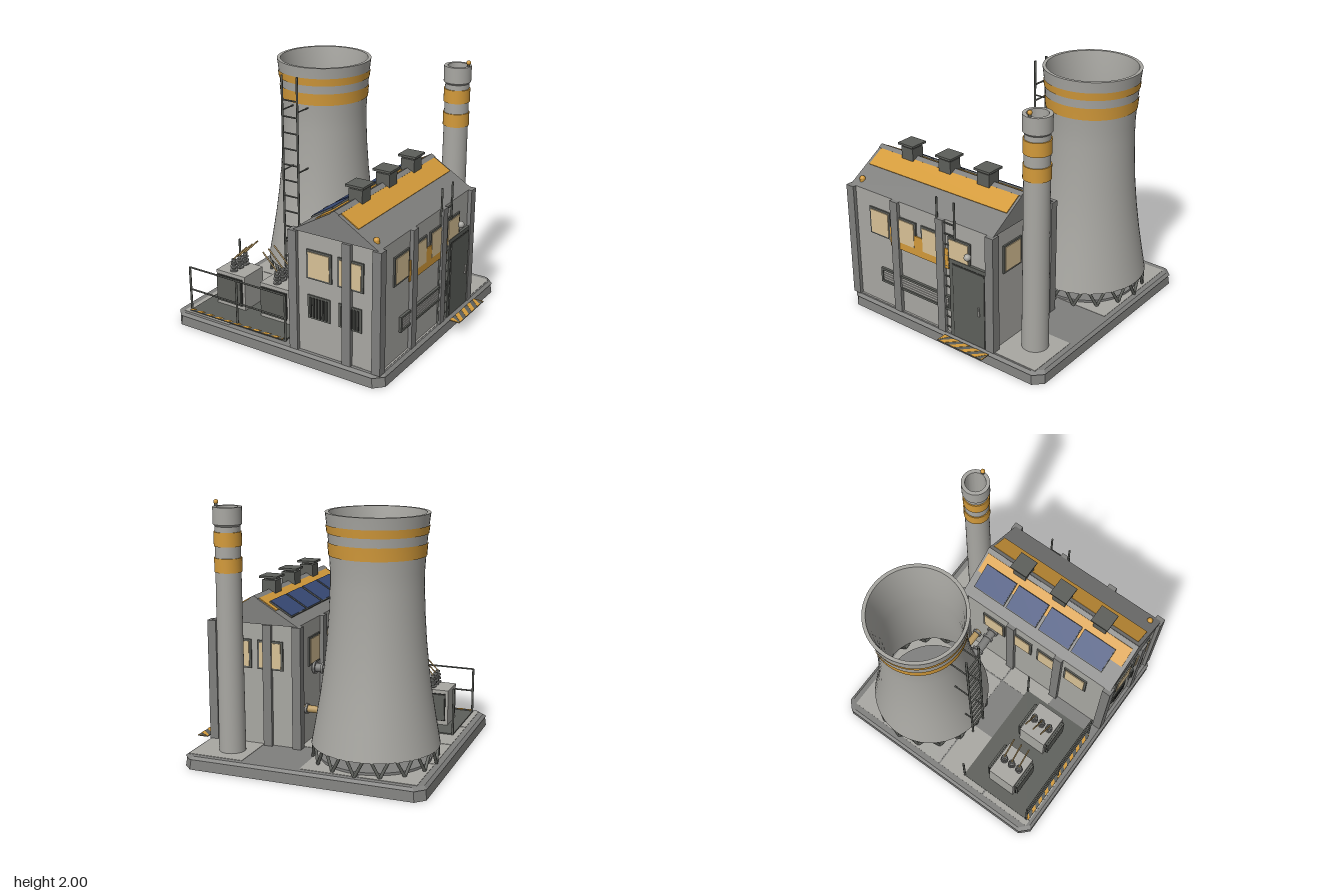
import * as THREE from 'three';
import { toCreasedNormals } from 'three/addons/utils/BufferGeometryUtils.js';

const mat = (name, color) => Object.assign(new THREE.MeshStandardMaterial({ color }), { name });

export function createModel() {
  const concrete = mat('light concrete', 0xa8a7a2);
  const grey = mat('mid grey', 0x7f7f7d);
  const dark = mat('dark grey', 0x5d5f5a);
  const black = mat('charcoal', 0x3d3e3b);
  const amber = mat('amber paint', 0xd39a3a);
  const blue = mat('solar blue', 0x384a76);
  const glass = mat('warm glass', 0xd8c196);
  const brass = mat('brass', 0xb99a62);
  const model = new THREE.Group();

  const group = (name, parent = model) => {
    const g = new THREE.Group();
    g.name = name;
    parent.add(g);
    return g;
  };
  const add = (parent, name, geo, material) => {
    const m = new THREE.Mesh(geo, material);
    m.name = name;
    parent.add(m);
    return m;
  };
  // Box given by its limits on each axis
  const box = (p, name, x0, x1, y0, y1, z0, z1, m) => {
    const b = add(p, name, new THREE.BoxGeometry(x1 - x0, y1 - y0, z1 - z0), m);
    b.position.set((x0 + x1) / 2, (y0 + y1) / 2, (z0 + z1) / 2);
    return b;
  };
  // Round bar between two points
  const rod = (p, name, a, b, r, m, sides = 8) => {
    const A = new THREE.Vector3(...a), B = new THREE.Vector3(...b);
    const d = B.clone().sub(A);
    const c = add(p, name, new THREE.CylinderGeometry(r, r, d.length(), sides), m);
    c.position.copy(A).add(B).multiplyScalar(0.5);
    c.quaternion.setFromUnitVectors(new THREE.Vector3(0, 1, 0), d.normalize());
    return c;
  };
  const lathe = (p, name, pts, m, x, z) => {
    const g = new THREE.LatheGeometry(pts.map(q => new THREE.Vector2(...q)), 56);
    const l = add(p, name, toCreasedNormals(g, 0.6), m);
    l.position.set(x, 0, z);
    return l;
  };
  const ball = (p, name, x, y, z, r, m) => add(p, name, new THREE.SphereGeometry(r, 16, 12), m).position.set(x, y, z);

  // Base slab with cut corners and a bevelled top edge
  const base = group('base');
  const X = 0.945, Z = 0.945, c = 0.07;
  const outline = new THREE.Shape([[-X + c, -Z], [X - c, -Z], [X, -Z + c], [X, Z - c], [X - c, Z], [-X + c, Z], [-X, Z - c], [-X, -Z + c]]
    .map(q => new THREE.Vector2(...q)));
  const slab = (y0, y1, topScale) => {
    const g = new THREE.ExtrudeGeometry(outline, { depth: y1 - y0, bevelEnabled: false }).rotateX(-Math.PI / 2);
    const pos = g.attributes.position;
    for (let i = 0; i < pos.count; i++) if (pos.getY(i) > 0.001) {
      pos.setX(i, pos.getX(i) * topScale);
      pos.setZ(i, pos.getZ(i) * topScale);
    }
    g.computeVertexNormals();
    add(base, 'slab', g, grey).position.set(-0.055, y0, -0.005);
  };
  slab(0, 0.08, 0.99);
  slab(0.08, 0.1, 0.975);
  const lightTiles = ['1101', '1111', '1011', '1001'];
  lightTiles.forEach((row, j) => [...row].forEach((t, i) => {
    const x = -0.93 + i * 0.449, z = -0.885 + j * 0.447;
    if (t === '1') box(base, 'pavingTile', x, x + 0.437, 0.097, 0.103, z, z + 0.435, concrete);
  }));

  // Cooling tower: hollow waisted shell, bands, leaning struts
  const tx = -0.467, tz = -0.42, tower = group('coolingTower');
  const prof = [[0.48, 0.215], [0.447, 0.4], [0.413, 0.6], [0.385, 0.8], [0.364, 1.0], [0.35, 1.2], [0.342, 1.4], [0.342, 1.52], [0.35, 1.65], [0.36, 1.78], [0.378, 1.93]];
  const radius = y => {
    const k = Math.max(1, prof.findIndex(q => q[1] >= y)), [a, b] = [prof[k - 1], prof[k]];
    return a[0] + (b[0] - a[0]) * (y - a[1]) / (b[1] - a[1]);
  };
  const inner = prof.slice(0, -1).reverse().map(([r, y]) => [r - 0.03, y]);
  lathe(tower, 'shell', [...prof, [0.352, 1.93], ...inner, prof[0]], concrete, tx, tz);
  for (const [a, b] of [[1.625, 1.72], [1.785, 1.845]])
    lathe(tower, 'band', [a, (a + b) / 2, b].map(y => [radius(y) + 0.006, y]), amber, tx, tz);
  const basin = add(tower, 'basin', new THREE.CylinderGeometry(0.42, 0.42, 0.02, 48), grey);
  basin.position.set(tx, 0.112, tz);
  for (let i = 0; i < 32; i++) {
    const a = (i >> 1) / 16 * Math.PI * 2, b = a + (i % 2 ? 0.14 : -0.14);
    rod(tower, 'strut', [tx + 0.47 * Math.cos(a), 0.1, tz + 0.47 * Math.sin(a)],
      [tx + 0.465 * Math.cos(b), 0.225, tz + 0.465 * Math.sin(b)], 0.012, dark);
  }
  for (const x of [-0.54, -0.398]) {
    rod(tower, 'ladderRail', [x, 0.1, 0.066], [x, 1.88, 0.066], 0.009, dark);
    for (const y of [0.5, 1.1, 1.6]) rod(tower, 'ladderBracket', [x, y, 0.066], [x, y, tz + radius(y) - 0.02], 0.006, dark);
  }
  for (let i = 0; i < 13; i++) rod(tower, 'ladderRung', [-0.54, 1.685 - i * 0.133 + 0.133 * (i === 12), 0.066], [-0.398, 1.685 - i * 0.133 + 0.133 * (i === 12), 0.066], 0.007, dark);

  // Chimney with collar, bands and warning light
  const chimney = group('chimney');
  lathe(chimney, 'stack', [[0.102, 0.1], [0.093, 1.81], [0.106, 1.825], [0.106, 1.95], [0.078, 1.95], [0.075, 1.5], [0, 1.5]], concrete, 0.59, -0.69);
  for (const [a, b] of [[1.475, 1.58], [1.665, 1.77]])
    lathe(chimney, 'band', [[0.092, a], [0.102, a], [0.102, b], [0.092, b]], amber, 0.59, -0.69);
  rod(chimney, 'lightStem', [0.68, 1.94, -0.69], [0.68, 1.97, -0.69], 0.012, dark);
  ball(chimney, 'warningLight', 0.68, 1.98, -0.69, 0.018, amber);

  // Hall: walls, gable roof and pilasters
  const hall = group('hall'), cx = 0.485, pitch = 0.59;
  box(hall, 'walls', 0.13, 0.84, 0.1, 1.05, -0.49, 0.89, concrete);
  const gable = new THREE.Shape([[0.13, 1.05], [0.84, 1.05], [cx, 1.26]].map(q => new THREE.Vector2(...q)));
  add(hall, 'roof', new THREE.ExtrudeGeometry(gable, { depth: 1.4, bevelEnabled: false }), grey).position.z = -0.5;
  for (const z of [-0.483, -0.02, 0.43, 0.883]) for (const x of [0.135, 0.835])
    box(hall, 'pilaster', x - 0.035, x + 0.035, 0.1, 1.05, z - 0.036, z + 0.036, grey);
  box(hall, 'frontPilaster', 0.555, 0.625, 0.1, 1.05, 0.87, 0.92, grey);
  box(hall, 'backPilaster', 0.34, 0.41, 0.1, 1.05, -0.52, -0.47, grey);

  // Plates lying on the roof slopes
  const slope = (name, side, d0, d1, z0, z1, lift, t, m) => {
    const d = (d0 + d1) / 2, g = add(hall, name, new THREE.BoxGeometry((d1 - d0) * 1.161, t, z1 - z0), m);
    g.position.set(cx + side * d, 1.26 - pitch * d + lift, (z0 + z1) / 2);
    g.rotation.z = -side * Math.atan(pitch);
  };
  for (const s of [-1, 1]) {
    slope('roofStripe', s, 0.035, 0.175, -0.48, 0.87, 0.003, 0.009, amber);
    slope('ridgeCap', s, 0, 0.033, -0.5, 0.9, 0.001, 0.008, grey);
  }
  for (const z of [-0.44, -0.135, 0.175, 0.48]) {
    slope('solarFrame', -1, 0.105, 0.285, z, z + 0.285, 0.017, 0.012, dark);
    slope('solarPanel', -1, 0.109, 0.281, z + 0.005, z + 0.28, 0.024, 0.006, blue);
  }
  for (const z of [-0.17, 0.2, 0.575]) {
    box(hall, 'ventBox', cx - 0.057, cx + 0.057, 1.22, 1.335, z - 0.057, z + 0.057, dark);
    box(hall, 'ventNeck', cx - 0.03, cx + 0.03, 1.33, 1.355, z - 0.03, z + 0.03, black);
    box(hall, 'ventCap', cx - 0.075, cx + 0.075, 1.35, 1.367, z - 0.075, z + 0.075, dark);
  }
  rod(hall, 'beaconBase', [0.78, 1.06, 0.83], [0.78, 1.09, 0.83], 0.023, amber, 16);
  ball(hall, 'beacon', 0.78, 1.093, 0.83, 0.023, amber);

  // Openings, built facing +z and turned onto each wall
  const windowOn = (x, z, turn) => {
    const w = group('window', hall);
    w.position.set(x, 0.813, z);
    w.rotation.y = turn;
    box(w, 'frame', -0.105, 0.105, -0.113, 0.113, -0.01, 0.012, dark);
    box(w, 'pane', -0.088, 0.088, -0.097, 0.097, 0.01, 0.018, glass);
  };
  for (const x of [0.353, 0.615]) {
    windowOn(x, 0.89, 0);
    windowOn(2 * cx - x, -0.49, Math.PI);
    box(hall, 'louvreFrame', x - 0.1, x + 0.09, 0.385, 0.57, 0.88, 0.9, dark);
    for (let i = 0; i < 6; i++)
      box(hall, 'louvreSlat', x - 0.078 + i * 0.027, x - 0.065 + i * 0.027, 0.4, 0.555, 0.9, 0.908, black);
  }
  for (const z of [0.595, 0.333, 0.071, -0.191]) {
    windowOn(0.84, z, Math.PI / 2);
    windowOn(0.13, z, -Math.PI / 2);
  }
  box(hall, 'wallStripe', 0.846, 0.855, 0.655, 0.82, -0.09, 0.49, amber);

  // Long louvre, door, lamp and ladder on the left wall
  for (const y of [0.3, 0.405]) box(hall, 'longLouvreRail', 0.835, 0.86, y, y + 0.018, -0.1, 0.605, dark);
  for (const z of [-0.1, 0.587]) box(hall, 'longLouvreEnd', 0.835, 0.86, 0.3, 0.42, z, z + 0.018, dark);
  for (let i = 0; i < 4; i++)
    box(hall, 'longLouvreSlat', 0.838, 0.852, 0.322 + i * 0.021, 0.338 + i * 0.021, -0.09, 0.59, concrete);
  box(hall, 'doorFrame', 0.83, 0.862, 0.1, 0.755, -0.468, -0.106, dark);
  box(hall, 'doorGap', 0.86, 0.864, 0.1, 0.725, -0.445, -0.135, black);
  box(hall, 'doorLeaf', 0.86, 0.869, 0.105, 0.718, -0.435, -0.142, dark);
  box(hall, 'doorHandle', 0.868, 0.88, 0.37, 0.445, -0.393, -0.38, concrete);
  rod(hall, 'lampArm', [0.84, 0.82, -0.285], [0.875, 0.82, -0.285], 0.012, dark);
  ball(hall, 'lamp', 0.868, 0.825, -0.285, 0.027, concrete);
  for (const z of [0.012, -0.153]) rod(hall, 'wallLadderRail', [0.85, 0.1, z], [0.85, 1.215, z], 0.008, dark);
  for (let i = 0; i < 11; i++) rod(hall, 'wallLadderRung', [0.85, 0.15 + i * 0.088, 0.012], [0.85, 0.15 + i * 0.088, -0.153], 0.006, dark);

  // Pipes joining tower and hall
  const pipes = group('pipes');
  const path = new THREE.CatmullRomCurve3([[0.13, -0.2], [0.02, -0.2], [-0.08, -0.2], [-0.15, -0.225], [-0.21, -0.275]]
    .map(([x, z]) => new THREE.Vector3(x, 0.67, z)));
  add(pipes, 'upperPipe', new THREE.TubeGeometry(path, 24, 0.034, 16), grey);
  rod(pipes, 'upperPipeEnd', [-0.2, 0.67, -0.267], [-0.212, 0.67, -0.277], 0.034, dark, 16);
  rod(pipes, 'lowerPipe', [-0.06, 0.385, -0.365], [0.13, 0.385, -0.365], 0.028, brass, 16);
  for (const [x, y, z, r] of [[-0.1, 0.67, -0.202, 0.05], [0.035, 0.67, -0.2, 0.045], [0.1, 0.67, -0.2, 0.05], [0.1, 0.385, -0.365, 0.04]])
    rod(pipes, 'flange', [x, y, z], [x + 0.018, y, z], r, grey, 16);

  // Transformer yard: pad, fence and two transformers
  const yard = group('transformerYard');
  box(yard, 'pad', -0.885, 0.02, 0.1, 0.112, 0.23, 0.87, dark);
  for (const [x, z] of [[-0.88, 0.86], [-0.43, 0.86], [0.02, 0.86], [-0.88, 0.235], [0.02, 0.235]])
    rod(yard, 'fencePost', [x, 0.1, z], [x, 0.48, z], 0.009, dark);
  for (const y of [0.29, 0.478]) rod(yard, 'fenceRail', [-0.88, y, 0.86], [0.02, y, 0.86], 0.007, dark);
  for (const [x, s] of [[-0.648, 1], [-0.222, -1]]) {
    const t = group('transformer', yard);
    box(t, 'tank', x - 0.138, x + 0.138, 0.112, 0.4, 0.42, 0.655, concrete);
    for (const z of [0.39, 0.655]) {
      box(t, 'radiator', x - 0.115, x + 0.115, 0.155, 0.37, z, z + 0.03, dark);
      box(t, 'radiatorFin', x - 0.12, x + 0.12, 0.15, 0.375, z + 0.012, z + 0.018, black);
    }
    for (const z of [0.468, 0.54, 0.612]) {
      const ix = x + s * 0.005;
      rod(t, 'bushing', [ix, 0.4, z], [ix, 0.51, z], 0.013, dark, 12);
      for (const [y, r] of [[0.41, 0.031], [0.44, 0.028], [0.47, 0.025], [0.497, 0.018]])
        rod(t, 'insulatorDisc', [ix, y, z], [ix, y + 0.012, z], r, grey, 16);
      rod(t, 'conductor', [ix, 0.51, z], [ix + s * 0.13, 0.64, z], 0.006, brass);
    }
  }

  // Striped warning strips
  const hazard = (name, len, wide, step) => {
    const h = group(name);
    box(h, 'plate', -len / 2, len / 2, 0, 0.006, -wide / 2, wide / 2, dark);
    for (let u = -len / 2 - wide; u < len / 2; u += step) {
      const k = v => Math.min(len / 2, Math.max(-len / 2, v));
      const q = [[k(u), -wide / 2], [k(u + step / 2), -wide / 2], [k(u + step / 2 + wide), wide / 2], [k(u + wide), wide / 2]];
      const g = new THREE.ExtrudeGeometry(new THREE.Shape(q.map(v => new THREE.Vector2(...v))), { depth: 0.003, bevelEnabled: false });
      add(h, 'stripe', g.rotateX(-Math.PI / 2), amber).position.y = 0.005;
    }
    return h;
  };
  hazard('yardEdgeStrip', 0.88, 0.028, 0.09).position.set(-0.44, 0.111, 0.868);
  const side = hazard('doorStrip', 0.425, 0.085, 0.1);
  side.position.set(0.948, 0.1, -0.29);
  side.rotation.y = Math.PI / 2;

  return model;
}
